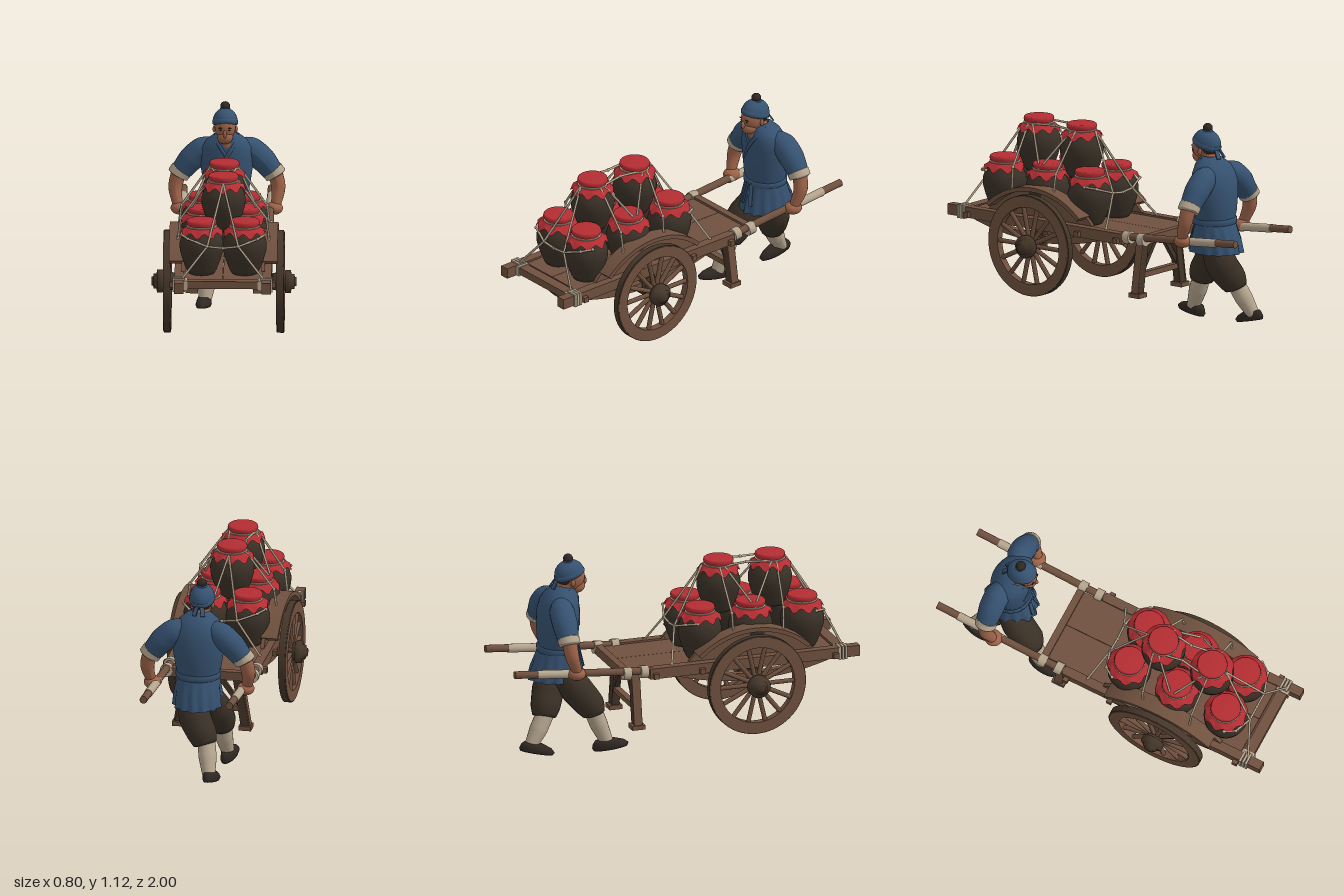
import * as THREE from 'three';

const mat = (name, color, double) => {
  const m = new THREE.MeshStandardMaterial({ color, side: double ? THREE.DoubleSide : THREE.FrontSide });
  m.name = name;
  return m;
};
const M = {
  wood: mat('wood', 0x6f503e), darkWood: mat('dark wood', 0x453629), clay: mat('clay', 0x3a3127),
  red: mat('red cloth', 0xb32d32, true), rope: mat('rope and linen', 0xb5a58e), blue: mat('blue cloth', 0x365271, true),
  skin: mat('skin', 0x9c6248), trousers: mat('trousers', 0x3a3026), black: mat('shoe and hair', 0x2f2722),
};
const V = (p) => new THREE.Vector3(p[0], p[1], p[2]);

function add(parent, name, geo, material, pos = [0, 0, 0]) {
  const m = new THREE.Mesh(geo, material);
  m.name = name;
  m.position.set(...pos);
  parent.add(m);
  return m;
}
const box = (g, name, material, size, pos) => add(g, name, new THREE.BoxGeometry(...size), material, pos);
const ball = (g, name, material, pos, scale) => {
  const m = add(g, name, new THREE.SphereGeometry(1, 24, 16), material, pos);
  m.scale.set(...scale);
  return m;
};
// Round bar between two points
function strut(g, name, material, a, b, r, sides = 10) {
  const va = V(a), vb = V(b), d = vb.clone().sub(va);
  const m = add(g, name, new THREE.CylinderGeometry(r, r, d.length(), sides), material);
  m.position.copy(va).add(vb).multiplyScalar(0.5);
  m.quaternion.setFromUnitVectors(new THREE.Vector3(0, 1, 0), d.normalize());
  return m;
}
// Square beam between two points
function beam(g, name, material, a, b, w, h) {
  const va = V(a), vb = V(b);
  const m = box(g, name, material, [w, h, va.distanceTo(vb)], [0, 0, 0]);
  m.position.copy(va).add(vb).multiplyScalar(0.5);
  m.lookAt(vb);
  return m;
}
// Tapering limb through points [x, y, z, radius]
function limb(g, name, material, pts, sides = 18) {
  const curve = new THREE.CatmullRomCurve3(pts.map(V)), segs = 20;
  const geo = new THREE.TubeGeometry(curve, segs, 1, sides);
  const p = geo.attributes.position, c = new THREE.Vector3(), v = new THREE.Vector3();
  for (let i = 0; i <= segs; i++) {
    const t = curve.getUtoTmapping(i / segs) * (pts.length - 1), k = Math.min(Math.floor(t), pts.length - 2);
    const r = THREE.MathUtils.lerp(pts[k][3], pts[k + 1][3], t - k);
    curve.getPointAt(i / segs, c);
    for (let j = 0; j <= sides; j++) {
      const n = i * (sides + 1) + j;
      v.fromBufferAttribute(p, n).sub(c).multiplyScalar(r).add(c);
      p.setXYZ(n, v.x, v.y, v.z);
    }
  }
  geo.computeVertexNormals();
  return add(g, name, geo, material);
}
// Body of oval rings [y, centreZ, radiusX, radiusZ, pleat]
function loft(g, name, material, rings, pos) {
  const n = 56, p = [], idx = [];
  rings.forEach(([y, cz, rx, rz, pleat = 0], i) => {
    for (let j = 0; j <= n; j++) {
      const a = (j / n) * Math.PI * 2, k = 1 + pleat * Math.cos(14 * a);
      p.push(rx * k * Math.sin(a), y, cz + rz * k * Math.cos(a));
      if (i && j < n) {
        const b = i * (n + 1) + j, l = b - n - 1;
        idx.push(l, l + 1, b + 1, l, b + 1, b);
      }
    }
  });
  const geo = new THREE.BufferGeometry();
  geo.setAttribute('position', new THREE.Float32BufferAttribute(p, 3));
  geo.setIndex(idx);
  geo.computeVertexNormals();
  return add(g, name, geo, material, pos);
}
// Curved board in the side plane
function arcBoard(g, name, material, x, width, zc, yc, r0, r1, a0, a1) {
  const s = new THREE.Shape();
  s.absarc(zc, yc, r1, a0, a1, false);
  if (r0) s.absarc(zc, yc, r0, a1, a0, true);
  const geo = new THREE.ExtrudeGeometry(s, { depth: width, bevelEnabled: false, curveSegments: 32 });
  geo.rotateY(-Math.PI / 2).translate(x + width / 2, 0, 0);
  return add(g, name, geo, material);
}

function wheel(side) {
  const g = new THREE.Group();
  g.name = 'wheel';
  const ring = (name, material, r0, r1, w) => {
    const s = new THREE.Shape().absarc(0, 0, r1, 0, Math.PI * 2);
    s.holes.push(new THREE.Path().absarc(0, 0, r0, 0, Math.PI * 2, true));
    add(g, name, new THREE.ExtrudeGeometry(s, { depth: w, bevelEnabled: false, curveSegments: 40 }), material, [0, 0, -w / 2]);
  };
  ring('rim', M.wood, 0.215, 0.276, 0.042);
  ring('tyre', M.darkWood, 0.274, 0.281, 0.036);
  for (let i = 0; i < 14; i++) {
    const a = (i / 14) * Math.PI * 2, c = Math.cos(a), s = Math.sin(a);
    strut(g, 'spoke', M.wood, [c * 0.05, s * 0.05, 0], [c * 0.225, s * 0.225, 0], 0.013, 8);
  }
  const hub = [[0, -0.045], [0.045, -0.045], [0.05, -0.02], [0.05, 0.022], [0.063, 0.026], [0.063, 0.056],
    [0.04, 0.06], [0.04, 0.076], [0.024, 0.078], [0.024, 0.088], [0, 0.088]];
  const geo = new THREE.LatheGeometry(hub.map((p) => new THREE.Vector2(...p)), 20);
  add(g, 'hub', geo.rotateX(Math.PI / 2), M.darkWood);
  g.rotation.y = side * Math.PI / 2;
  g.position.set(side * 0.31, 0.35, 0.382);
  return g;
}

function jar(x, y, z) {
  const g = new THREE.Group();
  g.name = 'jar';
  const lathe = (pts) => new THREE.LatheGeometry(pts.map((p) => new THREE.Vector2(...p)), 54);
  add(g, 'pot', lathe([[0, 0], [0.07, 0], [0.082, 0.02], [0.105, 0.08], [0.119, 0.13], [0.121, 0.17], [0.111, 0.205], [0.085, 0.242], [0.07, 0.265]]), M.clay);
  // Cloth cover with a flared, pointed hem
  const geo = lathe([[0.118, 0.23], [0.098, 0.25], [0.078, 0.262], [0.077, 0.27], [0.084, 0.284], [0.081, 0.296], [0.076, 0.3], [0, 0.3]]);
  const p = geo.attributes.position;
  for (let i = 0; i < p.count; i++) {
    if (p.getY(i) > 0.235) continue;
    const w = Math.cos(Math.atan2(p.getX(i), p.getZ(i)) * 9);
    p.setY(i, p.getY(i) + 0.014 * w);
    p.setX(i, p.getX(i) * (1 - 0.04 * w));
    p.setZ(i, p.getZ(i) * (1 - 0.04 * w));
  }
  geo.computeVertexNormals();
  add(g, 'cover', geo, M.red);
  add(g, 'neckTie', new THREE.TorusGeometry(0.08, 0.005, 6, 32).rotateX(Math.PI / 2), M.rope, [0, 0.266, 0]);
  g.position.set(x, y, z);
  g.rotation.y = x * 5 + z * 3;
  return g;
}

function createCart() {
  const g = new THREE.Group();
  g.name = 'cart';
  for (const s of [-1, 1]) box(g, 'deckPlank', M.wood, [0.214, 0.02, 1.2], [s * 0.108, 0.47, 0.26]);
  for (const z of [0.855, 0.08, -0.19]) box(g, 'underBeam', M.wood, [0.58, 0.03, 0.03], [0, 0.45, z]);
  box(g, 'frontBar', M.wood, [0.44, 0.042, 0.06], [0, 0.462, 0.9]);
  box(g, 'rearBar', M.wood, [0.44, 0.05, 0.04], [0, 0.468, -0.35]);
  strut(g, 'axle', M.darkWood, [-0.3, 0.365, 0.385], [0.3, 0.365, 0.385], 0.03, 16);
  for (const s of [-1, 1]) {
    const x = s * 0.24;
    box(g, 'rail', M.wood, [0.052, 0.06, 1.22], [x, 0.46, 0.39]);
    strut(g, 'handle', M.wood, [x, 0.467, -0.15], [x, 0.537, -1], 0.021, 14);
    strut(g, 'handleWrap', M.rope, [x, 0.501, -0.6], [x, 0.525, -0.87], 0.024, 14);
    for (const z of [-0.25, -0.35]) strut(g, 'lashing', M.rope, [x, 0.47, z + 0.022], [x, 0.474, z - 0.022], 0.036, 12);
    for (const z of [0.882, 0.9, 0.918]) box(g, 'frontLashing', M.rope, [0.068, 0.076, 0.013], [x, 0.46, z]);
    box(g, 'barLashing', M.rope, [0.03, 0.056, 0.074], [s * 0.208, 0.46, 0.9]);
    // Wheel guard, side board and bowed axle support
    arcBoard(g, 'wheelGuard', M.wood, s * 0.25, 0.094, 0.378, 0.194, 0.452, 0.476, 0.82, Math.PI - 0.82);
    arcBoard(g, 'sideBoard', M.wood, s * 0.218, 0.022, 0.378, 0.194, 0, 0.47, 0.69, Math.PI - 0.69);
    arcBoard(g, 'axleSupport', M.wood, s * 0.235, 0.04, 0.385, 1.84, 1.44, 1.48, -Math.PI / 2 - 0.32, -Math.PI / 2 + 0.32);
    box(g, 'axleBlock', M.darkWood, [0.045, 0.09, 0.09], [s * 0.235, 0.375, 0.385]);
    g.add(wheel(s));
    // Splayed prop leg
    beam(g, 'propLeg', M.darkWood, [s * 0.135, 0.45, -0.27], [s * 0.185, 0.14, -0.27], 0.045, 0.045);
    box(g, 'propFoot', M.wood, [0.07, 0.025, 0.075], [s * 0.186, 0.142, -0.27]);
    beam(g, 'propBrace', M.darkWood, [s * 0.16, 0.26, -0.27], [s * 0.03, 0.44, -0.27], 0.025, 0.025);
    box(g, 'propPlate', M.wood, [0.006, 0.3, 0.048], [s * 0.187, 0.3, -0.27]).rotation.z = s * 0.16;
  }
  box(g, 'propBar', M.wood, [0.37, 0.03, 0.035], [0, 0.25, -0.27]);
  return g;
}

function createCargo() {
  const g = new THREE.Group();
  g.name = 'cargo';
  for (const z of [0.715, 0.415, 0.12]) for (const s of [-1, 1]) g.add(jar(s * 0.118, 0.48, z));
  for (const z of [0.57, 0.27]) g.add(jar(0, 0.7, z));
  // Ropes, mirrored sideways and front to back
  for (const e of [-1, 1]) {
    const Z = (z) => 0.415 + e * (z - 0.415);
    const rope = (...pts) => {
      for (let i = 1; i < pts.length; i++) {
        const [a, b] = [pts[i - 1], pts[i]].map((p) => [p[0], p[1], Z(p[2])]);
        strut(g, 'rope', M.rope, a, b, 0.0065, 6);
        ball(g, 'knot', M.rope, b, [0.009, 0.009, 0.009]);
      }
    };
    for (const s of [-1, 1]) {
      rope([0, 0.968, 0.655], [s * 0.085, 0.66, 0.847], [s * 0.225, 0.49, 0.91]);
      rope([s * 0.085, 0.66, 0.847], [s * 0.19, 0.695, 0.815], [s * 0.228, 0.705, 0.76]);
      rope([s * 0.08, 0.966, 0.58], [s * 0.235, 0.75, 0.565], [s * 0.25, 0.63, 0.56]);
      rope([s * 0.08, 0.966, 0.55], [s * 0.19, 0.755, 0.415]);
      rope([s * 0.07, 0.968, 0.55], [s * 0.05, 0.972, 0.415]);
    }
    rope([-0.085, 0.66, 0.847], [0, 0.65, 0.845], [0.085, 0.66, 0.847]);
  }
  return g;
}

function createPorter() {
  const g = new THREE.Group();
  g.name = 'porter';
  // Legs in mid stride
  const legs = [
    { hip: [[-0.055, 0.47, -0.66, 0.07], [-0.08, 0.36, -0.585, 0.09], [-0.095, 0.26, -0.51, 0.082], [-0.1, 0.205, -0.49, 0.06], [-0.1, 0.2, -0.49, 0.01]],
      shin: [[-0.098, 0.25, -0.5, 0.05], [-0.103, 0.15, -0.462, 0.05], [-0.115, 0.05, -0.42, 0.036]], shoe: [-0.123, 0.012, -0.4], pitch: -0.13, yaw: -0.15 },
    { hip: [[0.04, 0.47, -0.68, 0.07], [0.01, 0.35, -0.715, 0.09], [-0.04, 0.26, -0.75, 0.082], [-0.06, 0.205, -0.765, 0.06], [-0.061, 0.2, -0.766, 0.01]],
      shin: [[-0.06, 0.25, -0.75, 0.05], [-0.08, 0.15, -0.805, 0.05], [-0.098, 0.06, -0.86, 0.034]], shoe: [-0.104, 0.026, -0.825], pitch: 0.22, yaw: -0.1 },
  ];
  for (const l of legs) {
    limb(g, 'trouserLeg', M.trousers, l.hip);
    limb(g, 'stocking', M.rope, l.shin);
    const shoe = loft(g, 'shoe', M.black, [[0, 0, 0.001, 0.001], [0, 0, 0.036, 0.095], [0.015, 0, 0.042, 0.102], [0.035, -0.008, 0.038, 0.088], [0.052, -0.025, 0.034, 0.058], [0.056, -0.03, 0.001, 0.001]], l.shoe);
    shoe.rotation.set(l.pitch, l.yaw, 0);
  }
  // Tunic, pleated skirt and sash
  loft(g, 'tunic', M.blue, [[0.57, -0.665, 0.11, 0.1], [0.64, -0.665, 0.128, 0.112], [0.72, -0.665, 0.14, 0.115], [0.8, -0.662, 0.148, 0.113],
    [0.855, -0.655, 0.142, 0.102], [0.895, -0.648, 0.112, 0.09], [0.928, -0.638, 0.072, 0.066], [0.945, -0.63, 0.045, 0.045]]);
  loft(g, 'skirt', M.blue, [[0.6, -0.665, 0.112, 0.104], [0.55, -0.668, 0.12, 0.118, 0.015], [0.48, -0.672, 0.13, 0.142, 0.04], [0.415, -0.673, 0.134, 0.154, 0.06]]);
  loft(g, 'sash', M.blue, [[0.57, -0.665, 0.112, 0.104], [0.574, -0.665, 0.124, 0.115], [0.602, -0.665, 0.126, 0.116], [0.606, -0.665, 0.114, 0.104]]);
  for (const x of [-0.012, 0.02]) beam(g, 'sashEnd', M.blue, [x, 0.59, -0.548], [x * 2, 0.47, -0.522], 0.02, 0.008);
  limb(g, 'lapel', M.blue, [[0.06, 0.93, -0.625, 0.01], [0.045, 0.89, -0.572, 0.011], [0, 0.82, -0.55, 0.011], [-0.06, 0.72, -0.565, 0.009]], 8);
  limb(g, 'lapel', M.blue, [[-0.06, 0.93, -0.625, 0.01], [-0.045, 0.89, -0.572, 0.011], [0, 0.82, -0.552, 0.01]], 8);
  ball(g, 'chest', M.skin, [0, 0.885, -0.59], [0.038, 0.05, 0.038]);
  for (const s of [-1, 1]) {
    limb(g, 'sleeve', M.blue, [[s * 0.06, 0.855, -0.665, 0.05], [s * 0.13, 0.83, -0.685, 0.07], [s * 0.195, 0.775, -0.69, 0.07], [s * 0.252, 0.705, -0.69, 0.058]]);
    limb(g, 'cuff', M.rope, [[s * 0.245, 0.718, -0.69, 0.045], [s * 0.248, 0.714, -0.69, 0.061], [s * 0.268, 0.686, -0.69, 0.06], [s * 0.27, 0.682, -0.69, 0.03]]);
    limb(g, 'forearm', M.skin, [[s * 0.264, 0.7, -0.69, 0.042], [s * 0.282, 0.62, -0.68, 0.039], [s * 0.27, 0.53, -0.648, 0.028]]);
    ball(g, 'hand', M.skin, [s * 0.26, 0.51, -0.645], [0.048, 0.036, 0.05]);
  }
  // Head with cap and top knot
  const h = new THREE.Group();
  h.name = 'head';
  limb(h, 'neck', M.skin, [[0, 0.9, -0.64, 0.046], [0, 0.95, -0.615, 0.046], [0, 0.98, -0.605, 0.046]]);
  ball(h, 'skull', M.skin, [0, 0.985, -0.588], [0.058, 0.078, 0.076]);
  ball(h, 'jaw', M.skin, [0, 0.932, -0.557], [0.043, 0.04, 0.046]);
  ball(h, 'nose', M.skin, [0, 0.957, -0.512], [0.01, 0.022, 0.013]);
  ball(h, 'hair', M.black, [0, 0.985, -0.622], [0.056, 0.045, 0.05]);
  for (const s of [-1, 1]) {
    ball(h, 'ear', M.skin, [s * 0.06, 0.967, -0.598], [0.009, 0.02, 0.013]);
    ball(h, 'eye', M.black, [s * 0.023, 0.977, -0.519], [0.008, 0.003, 0.003]);
    ball(h, 'brow', M.black, [s * 0.024, 0.99, -0.519], [0.013, 0.003, 0.004]);
    beam(h, 'capTie', M.blue, [s * 0.008, 1, -0.665], [s * 0.025, 0.935, -0.705], 0.024, 0.008);
  }
  const cap = add(h, 'cap', new THREE.SphereGeometry(1, 28, 14, 0, Math.PI * 2, 0, Math.PI * 0.56), M.blue, [0, 1.01, -0.6]);
  cap.scale.set(0.068, 0.074, 0.084);
  cap.rotation.x = -0.3;
  const band = add(h, 'capBand', new THREE.TorusGeometry(1, 0.15, 8, 32).rotateX(Math.PI / 2), M.blue, [0, 1.006, -0.6]);
  band.scale.set(0.062, 0.11, 0.077);
  band.rotation.x = -0.3;
  ball(h, 'topKnot', M.black, [0, 1.094, -0.607], [0.027, 0.026, 0.027]);
  add(h, 'knotTie', new THREE.TorusGeometry(0.021, 0.008, 6, 20).rotateX(Math.PI / 2), M.blue, [0, 1.078, -0.607]);
  h.position.x = -0.008;
  g.add(h);
  return g;
}

export function createModel() {
  const g = new THREE.Group();
  g.name = 'handcart with porter';
  g.add(createCart(), createCargo(), createPorter());
  return g;
}
